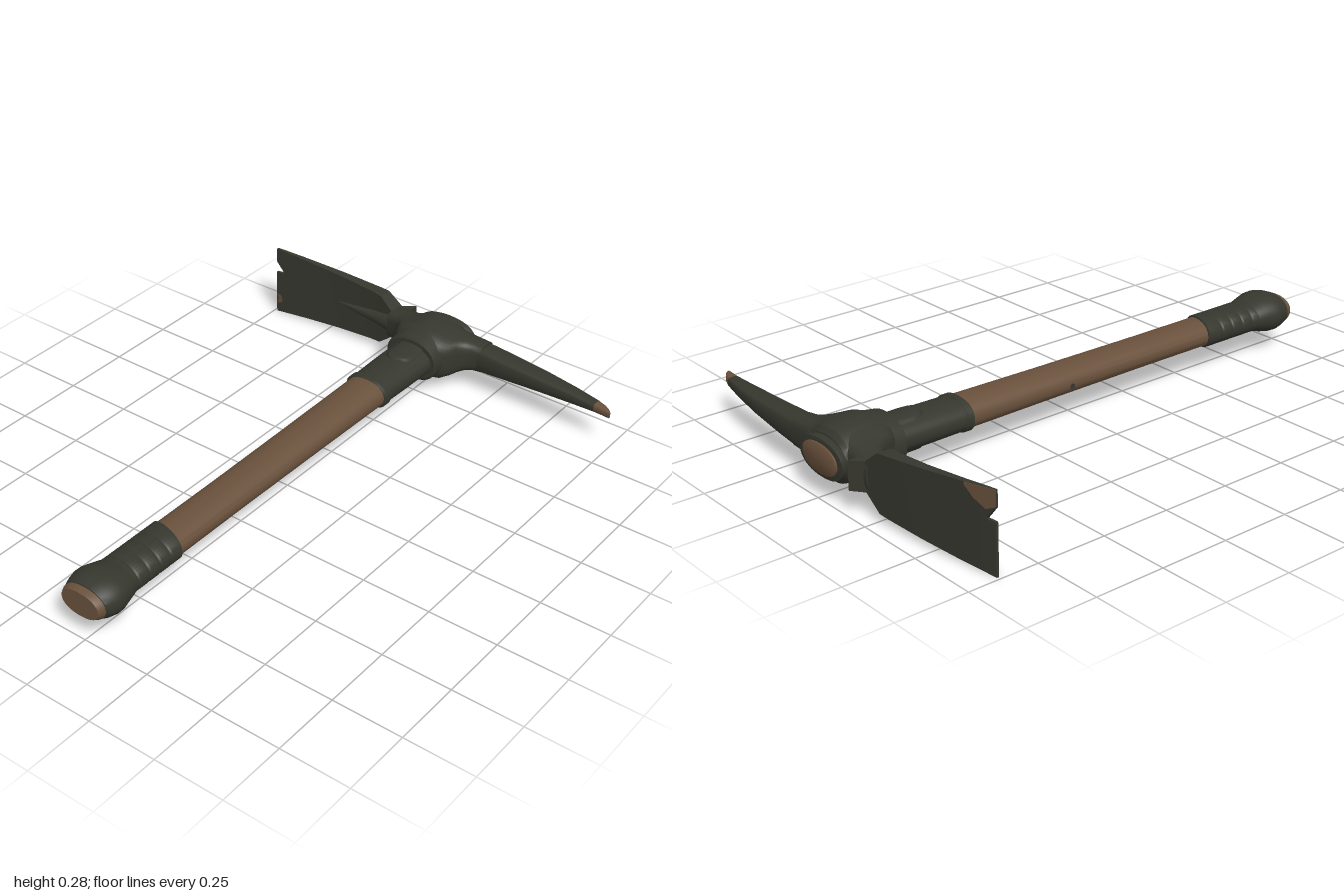
import * as THREE from 'three';
import { toCreasedNormals } from 'three/addons/utils/BufferGeometryUtils.js';

const metal = new THREE.MeshStandardMaterial({ color: 0x36372e });
metal.name = 'dark metal';
const wood = new THREE.MeshStandardMaterial({ color: 0x69513c });
wood.name = 'brown wood';
const CX = -0.01, CY = 0.135; // handle axis

// Skin a list of closed rings, with a cap at both ends
function loft(rings, crease = 0.6) {
  const n = rings[0].length, pos = rings.flat(2), idx = [];
  for (let i = 0; i < rings.length - 1; i++) {
    for (let j = 0; j < n; j++) {
      const a = i * n + j, b = i * n + (j + 1) % n;
      idx.push(a, b, b + n, a, b + n, a + n);
    }
  }
  for (const end of [0, rings.length - 1]) {
    const c = pos.length / 3;
    for (let k = 0; k < 3; k++) pos.push(rings[end].reduce((s, p) => s + p[k], 0) / n);
    for (let j = 0; j < n; j++) {
      const a = end * n + j, b = end * n + (j + 1) % n;
      end ? idx.push(c, a, b) : idx.push(c, b, a);
    }
  }
  const g = new THREE.BufferGeometry();
  g.setAttribute('position', new THREE.Float32BufferAttribute(pos, 3));
  g.setIndex(idx);
  return toCreasedNormals(g, crease);
}

// Rounded section: power 1 is an ellipse, smaller is squarer
function oval(n, power, place) {
  const bend = v => Math.sign(v) * Math.abs(v) ** power;
  return Array.from({ length: n }, (_, i) => {
    const a = i / n * Math.PI * 2;
    return place(bend(Math.cos(a)), bend(Math.sin(a)));
  });
}

// Profile rows along the handle: [z, half width, half height, slant]
const alongZ = (rows, power = 0.9) => loft(rows.map(([z, rx, ry, slant = 0]) =>
  oval(40, power, (c, s) => [CX + c * rx, CY + s * ry, z + slant * c])));

// Section rows along the head: [x, y0, y1, zBack, zFront]
const alongX = (rows, power, n = 24, crease = 0.6) => loft(rows.map(([x, y0, y1, z0, z1]) =>
  oval(n, power, (c, s) => [x, (y0 + y1) / 2 + c * (y1 - y0) / 2, (z0 + z1) / 2 + s * (z1 - z0) / 2])), crease);

// Flat-sided sections with four corners
const slab = rows => loft(rows.map(([x, y0, y1, z0, z1]) =>
  [[x, y0, z0], [x, y1, z0], [x, y1, z1], [x, y0, z1]]), 0.3);

// Curved blade thickness at x
function bladeZ(x) {
  const t = [[-0.74, -0.892, -0.884], [-0.6, -0.916, -0.896], [-0.45, -0.936, -0.905], [-0.3, -0.95, -0.905], [-0.18, -0.957, -0.89]];
  const i = Math.min(3, Math.max(0, t.findIndex(r => r[0] > x) - 1));
  const f = (x - t[i][0]) / (t[i + 1][0] - t[i][0]);
  return [1, 2].map(k => t[i][k] + (t[i + 1][k] - t[i][k]) * f);
}
const bladeRows = rows => rows.map(([x, y0, y1]) => [x, y0, y1, ...bladeZ(x)]);

export function createModel() {
  const model = new THREE.Group();
  const add = (name, geometry, material = metal) => {
    const mesh = new THREE.Mesh(geometry, material);
    mesh.name = name;
    model.add(mesh);
    return mesh;
  };

  // Handle
  add('shaft', alongZ([[-0.75, 0.079, 0.052], [-0.45, 0.078, 0.052], [-0.1, 0.075, 0.048], [0.3, 0.072, 0.046], [0.65, 0.072, 0.046]]), wood);
  add('buttEnd', alongZ([[0.93, 0.085, 0.055], [0.985, 0.083, 0.052], [1, 0.075, 0.045]]), wood);
  const knot = add('knot', new THREE.CircleGeometry(0.01, 12), metal);
  knot.position.set(CX - 0.0755, 0.13, -0.05);
  knot.rotation.y = -Math.PI / 2;

  // Wrapped grip with a slanted upper edge
  const grip = [[0.6, 0.074, 0.048, 0.018], [0.602, 0.079, 0.052, 0.018]];
  for (const z of [0.66, 0.71, 0.76, 0.81]) {
    grip.push([z - 0.006, 0.079, 0.052, 0.008], [z, 0.075, 0.048, 0.008], [z + 0.006, 0.079, 0.052, 0.008]);
  }
  grip.push([0.84, 0.08, 0.052]);
  add('grip', alongZ(grip));
  add('pommel', alongZ([[0.825, 0.076, 0.049], [0.84, 0.083, 0.054], [0.87, 0.09, 0.063], [0.9, 0.099, 0.069], [0.925, 0.1, 0.07],
    [0.955, 0.093, 0.064], [0.975, 0.085, 0.056], [0.977, 0.078, 0.049]]));

  // Sleeve and collar below the head
  add('sleeve', alongZ([[-0.78, 0.087, 0.056], [-0.62, 0.086, 0.055], [-0.47, 0.082, 0.054]]));
  add('collar', alongZ([[-0.495, 0.082, 0.053], [-0.49, 0.088, 0.058], [-0.468, 0.088, 0.058], [-0.462, 0.08, 0.052]]));

  // Raised tongues on the sleeve, above and below
  for (const side of [1, -1]) {
    const g = new THREE.PlaneGeometry(2, 1, 12, 12), p = g.attributes.position;
    for (let i = 0; i < p.count; i++) {
      const u = p.getX(i), v = p.getY(i) + 0.5; // v runs from tip to head
      const w = 0.055 * Math.sqrt(1 - (1 - Math.min(1, v * 2.2)) ** 2);
      const lift = Math.abs(u) > 0.95 || v < 0.05 ? -0.004 : 0.006;
      const x = u * w;
      const y = 0.056 * Math.sqrt(1 - (x / 0.087) ** 2) + lift + 0.002;
      p.setXYZ(i, CX + side * x, CY + side * y, -0.62 - 0.13 * v);
    }
    g.computeVertexNormals();
    add(side > 0 ? 'upperTongue' : 'lowerTongue', g);
  }

  // Eye of the head, with the wedge end of the handle showing through
  add('eyeSocket', alongZ([[-0.965, 0.105, 0.07], [-0.95, 0.112, 0.088], [-0.9, 0.113, 0.097], [-0.85, 0.112, 0.099],
    [-0.8, 0.11, 0.092], [-0.745, 0.107, 0.083], [-0.74, 0.1, 0.076]]));
  add('eyeRim', alongZ([[-0.99, 0.1, 0.056], [-0.988, 0.117, 0.064], [-0.975, 0.115, 0.066], [-0.96, 0.103, 0.066]]));
  add('wedgeEnd', alongZ([[-1, 0.08, 0.042], [-0.995, 0.092, 0.05], [-0.97, 0.092, 0.05]]), wood);

  // Flared shoulders joining both arms to the eye
  const half = [[0.03, 0.04, 0.23, -0.76], [0.08, 0.05, 0.215, -0.765], [0.105, 0.062, 0.204, -0.785], [0.12, 0.068, 0.2, -0.82],
    [0.14, 0.074, 0.195, -0.85], [0.165, 0.078, 0.191, -0.865], [0.2, 0.08, 0.188, -0.871]];
  const row = (sign) => ([x, y0, y1, z]) => [sign * x - (sign < 0 ? 0.01 : 0), y0, y1, -0.96, z];
  add('shoulders', alongX([...half.map(row(-1)).reverse(), ...half.map(row(1))], 0.6, 32));

  // Pick arm and its worn tip
  add('pickArm', alongX([[0.18, 0.083, 0.182, -0.959, -0.869], [0.3, 0.092, 0.174, -0.954, -0.868], [0.45, 0.103, 0.164, -0.942, -0.867],
    [0.58, 0.111, 0.156, -0.924, -0.866], [0.675, 0.117, 0.15, -0.905, -0.864]], 0.5, 16));
  add('pickTip', alongX([[0.675, 0.117, 0.15, -0.905, -0.864], [0.71, 0.119, 0.148, -0.892, -0.861], [0.73, 0.12, 0.146, -0.879, -0.859],
    [0.74, 0.122, 0.144, -0.868, -0.858]], 0.5, 16), wood);

  // Broad blade with a notched edge
  add('blade', slab(bladeRows([[-0.705, 0.003, 0.272], [-0.6, 0.01, 0.262], [-0.45, 0.019, 0.248], [-0.3, 0.028, 0.234],
    [-0.26, 0.031, 0.23], [-0.2, 0.08, 0.183], [-0.16, 0.082, 0.182]])));
  add('lowerBladeTab', slab(bladeRows([[-0.74, 0, 0.175], [-0.705, 0.003, 0.175]])));
  add('upperBladeTab', slab(bladeRows([[-0.74, 0.22, 0.275], [-0.705, 0.176, 0.272]])));
  add('bladeRidge', alongX([[-0.45, 0.128, 0.138, -0.92, -0.902], [-0.36, 0.118, 0.148, -0.93, -0.891],
    [-0.26, 0.107, 0.162, -0.94, -0.879], [-0.18, 0.088, 0.18, -0.95, -0.869]], 0.9, 16));

  // Worn patches: back corner and a spot on the front edge
  const back = x => bladeZ(x)[0] - 0.002;
  add('wornCorner', slab([[-0.74, 0.222, 0.275], [-0.705, 0.205, 0.272], [-0.66, 0.225, 0.267], [-0.625, 0.255, 0.264]]
    .map(([x, a, b]) => [x, a, b, back(x), back(x) + 0.003])), wood);
  const spot = add('wornSpot', new THREE.CircleGeometry(0.019, 16, -Math.PI / 2 - 0.5, Math.PI + 1), wood);
  spot.position.set(-0.73, 0.06, bladeZ(-0.73)[1] + 0.002);
  spot.rotation.y = -0.086;

  return model;
}
